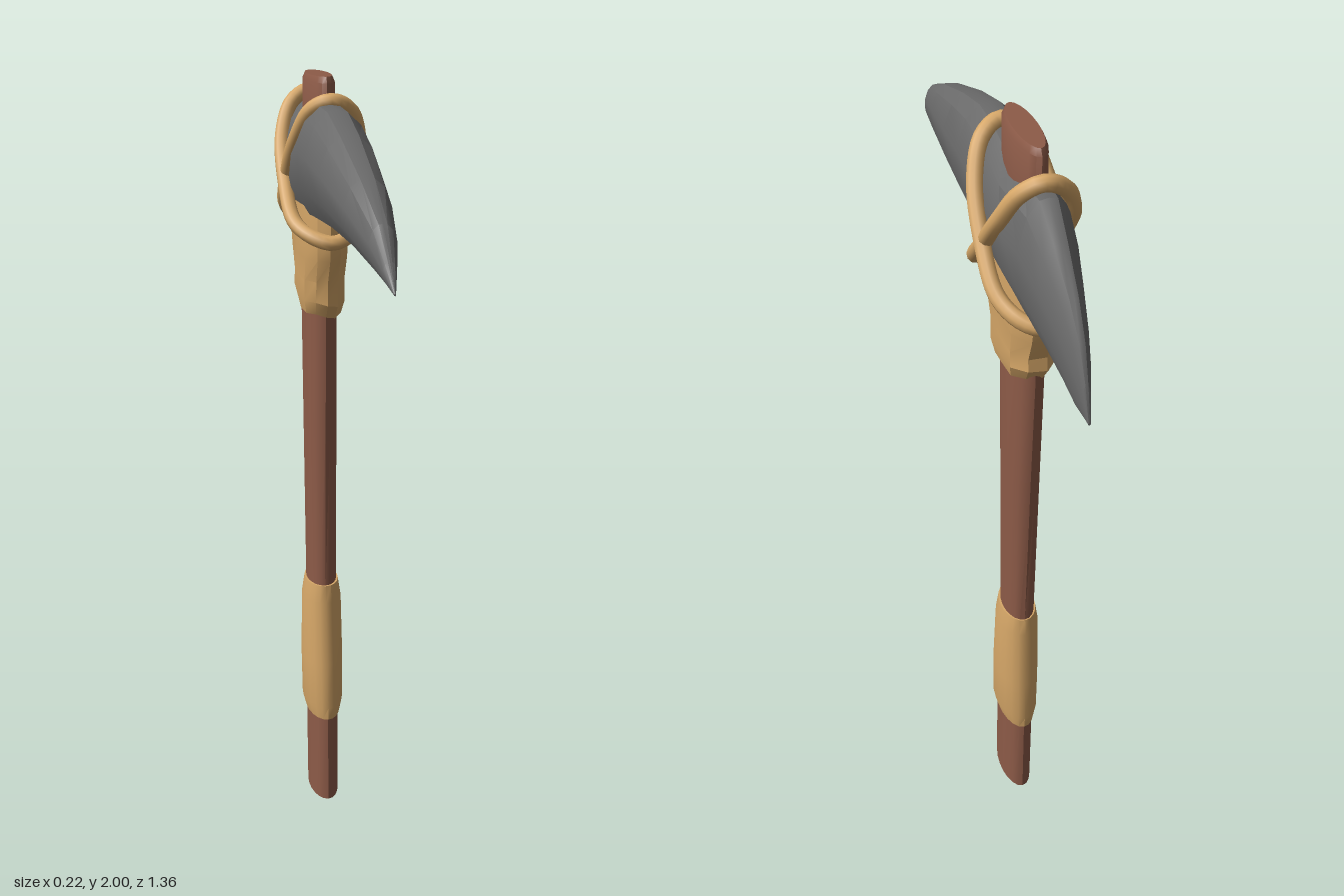
import * as THREE from 'three';
import { toCreasedNormals } from 'three/addons/utils/BufferGeometryUtils.js';

// Skin a stack of closed rings (arrays of [x, y, z]) and cap both ends.
function loft(rings, crease) {
  const n = rings[0].length, pos = [], index = [];
  rings.forEach(r => r.forEach(p => pos.push(...p)));
  for (let i = 0; i < rings.length - 1; i++) {
    for (let j = 0; j < n; j++) {
      const k = (j + 1) % n, a = i * n, b = a + n;
      index.push(a + j, b + j, a + k, b + j, b + k, a + k);
    }
  }
  [0, rings.length - 1].forEach((ri, end) => {
    const c = pos.length / 3;
    for (let d = 0; d < 3; d++) pos.push(rings[ri].reduce((s, p) => s + p[d], 0) / n);
    for (let j = 0; j < n; j++) {
      const a = ri * n + j, b = ri * n + (j + 1) % n;
      index.push(c, end ? b : a, end ? a : b);
    }
  });
  const g = new THREE.BufferGeometry();
  g.setAttribute('position', new THREE.Float32BufferAttribute(pos, 3));
  g.setIndex(index);
  return toCreasedNormals(g, crease);
}

const CX = -0.005;

// Upright oval column; each level is [y, zFront, zBack, halfWidth].
function column(levels, sides, crease, ragged = () => 0) {
  return loft(levels.map(([y, zf, zb, w], i) => Array.from({ length: sides }, (_, j) => {
    const t = (j / sides) * Math.PI * 2;
    return [CX + w * Math.cos(t), y + ragged(i, j), (zf + zb) / 2 + (zf - zb) / 2 * Math.sin(t)];
  })), crease);
}

export function createModel() {
  const wood = new THREE.MeshStandardMaterial({ name: 'brown wood', color: 0x8d5b48 });
  const hide = new THREE.MeshStandardMaterial({ name: 'tan hide', color: 0xd6a768 });
  const stone = new THREE.MeshStandardMaterial({ name: 'grey stone', color: 0x6a6a6a });
  const model = new THREE.Group();
  const add = (name, geometry, material) => {
    const mesh = new THREE.Mesh(geometry, material);
    mesh.name = name;
    model.add(mesh);
  };

  // Flattened oval handle, flaring towards the head
  add('handle', column([
    [0, -0.09, -0.28, 0.04],
    [0.25, -0.097, -0.284, 0.041],
    [0.65, -0.13, -0.275, 0.04],
    [1.1, -0.122, -0.3, 0.042],
    [1.42, -0.113, -0.322, 0.043],
    [1.9, -0.092, -0.335, 0.036],
    [1.985, -0.09, -0.337, 0.035],
    [2, -0.1, -0.327, 0.028],
  ], 20, 0.6), wood);

  // Hand grip wrap
  add('gripWrap', column([
    [0.255, -0.092, -0.288, 0.045],
    [0.29, -0.09, -0.291, 0.054],
    [0.42, -0.1, -0.289, 0.056],
    [0.6, -0.119, -0.282, 0.053],
    [0.65, -0.124, -0.278, 0.045],
  ], 20, 0.6), hide);

  // Ragged hide wrap under the head, with flat cheeks
  const wrapLevels = [
    [1.415, -0.11, -0.318, 0.048],
    [1.45, -0.085, -0.345, 0.056],
    [1.5, -0.083, -0.342, 0.055],
    [1.56, -0.05, -0.372, 0.058],
    [1.61, -0.04, -0.387, 0.06],
    [1.7, -0.045, -0.385, 0.06],
  ];
  const rag = [0.006, -0.004, -0.008, -0.002, 0.004, 0, -0.005, 0.003, 0.008, 0.012];
  const cheek = [[1, 0], [0.93, 0.62], [0.5, 0.9], [0, 1], [-0.5, 0.9], [-0.93, 0.62],
    [-1, 0], [-0.93, -0.62], [-0.4, -0.95], [0.4, -0.95], [0.93, -0.62]];
  add('headWrap', loft(wrapLevels.map(([y, zf, zb, w], i) => cheek.map(([u, v], j) => [
    CX + w * u,
    y + (i < 2 ? rag[j % rag.length] - v * 0.008 : 0),
    (zf + zb) / 2 + (zf - zb) / 2 * v,
  ])), 0.5), hide);

  // Stone head: each station is [z, yTop, yBottom, halfWidth]
  const stations = [
    [-0.68, 1.572, 1.565, 0.003],
    [-0.655, 1.645, 1.566, 0.01],
    [-0.62, 1.72, 1.568, 0.02],
    [-0.56, 1.79, 1.588, 0.033],
    [-0.47, 1.862, 1.608, 0.05],
    [-0.385, 1.92, 1.62, 0.066],
    [-0.3, 1.918, 1.632, 0.078],
    [-0.22, 1.908, 1.642, 0.081],
    [-0.12, 1.928, 1.652, 0.081],
    [-0.05, 1.94, 1.66, 0.082],
    [0.05, 1.936, 1.668, 0.081],
    [0.2, 1.898, 1.678, 0.073],
    [0.4, 1.832, 1.677, 0.054],
    [0.56, 1.762, 1.661, 0.031],
    [0.63, 1.698, 1.65, 0.015],
    [0.68, 1.643, 1.638, 0.002],
  ];
  const half = [[0.3, 0.97], [0.7, 0.74], [1, 0.2], [0.95, -0.4], [0.55, -0.88]];
  const section = [[0, 1], ...half, [0, -1], ...half.map(([u, v]) => [-u, v]).reverse()];
  add('stoneHead', loft(stations.map(([z, top, bottom, w]) => section.map(([u, v]) => [
    CX + w * u, (top + bottom) / 2 + (top - bottom) / 2 * v, z,
  ])), 0.5), stone);

  // Two diagonal rope loops crossing on the cheeks
  const ropeA = [[-0.062, 1.947], [-0.085, 1.925], [-0.14, 1.85], [-0.23, 1.75], [-0.32, 1.665], [-0.375, 1.63], [-0.395, 1.618]];
  const ropeB = [[-0.372, 1.947], [-0.355, 1.92], [-0.31, 1.845], [-0.21, 1.735], [-0.11, 1.65], [-0.06, 1.62], [-0.042, 1.608]];
  const reach = [0, 0.05, 0.083, 0.092, 0.083, 0.045, 0];
  [ropeA, ropeB].forEach((side, i) => {
    const at = (k, s) => {
      const outer = (s > 0) === (i === 0) ? 1 : 0.91;
      return new THREE.Vector3(CX + 0.005 + s * reach[k] * outer, side[k][1], side[k][0]);
    };
    const points = [];
    for (let k = 0; k < 7; k++) points.push(at(k, 1));
    for (let k = 5; k > 0; k--) points.push(at(k, -1));
    const curve = new THREE.CatmullRomCurve3(points, true, 'centripetal');
    add(i ? 'ropeLoopBack' : 'ropeLoopFront', new THREE.TubeGeometry(curve, 64, 0.019, 10, true), hide);
  });

  return model;
}
